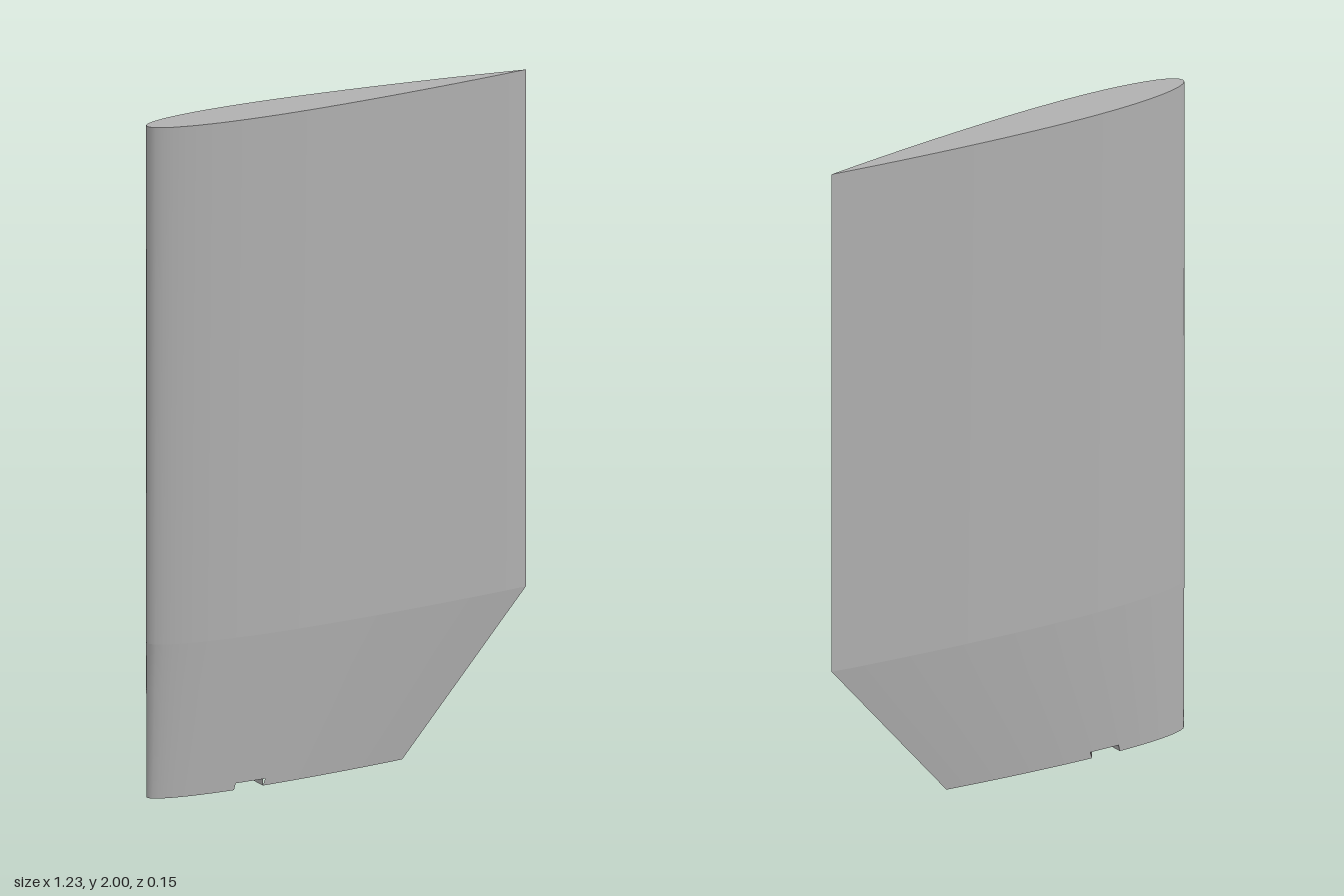
import * as THREE from 'three';

const LEAD = -0.6125, CHORD = 1.225, TIP_CHORD = 0.825;
const TOP = 2, BREAK = 0.46, NOTCH_Y = 0.02;
const NOTCH = [0.309, 0.424]; // chord fractions of the notch sides

// Symmetric aerofoil: half thickness at chord fraction u
const half = u => 0.6 * (0.2969 * Math.sqrt(u) - 0.126 * u - 0.3516 * u ** 2 + 0.2843 * u ** 3 - 0.1036 * u ** 4);
const chordAt = y => (y >= BREAK ? CHORD : TIP_CHORD + (CHORD - TIP_CHORD) * y / BREAK);

// Chord stations, denser at both ends, including the notch sides
const stations = [...NOTCH];
for (let i = 0; i <= 28; i++) stations.push((1 - Math.cos(Math.PI * i / 28)) / 2);
stations.sort((a, b) => a - b);

// Trailing edge -> back -> leading edge -> front -> trailing edge
const loop = [
  ...stations.slice(1).reverse().map(u => [u, -1]),
  ...stations.map(u => [u, 1]),
];

// Skin lofted through the given heights; the lowest band can leave the notch open
function skin(heights, notched) {
  const pos = [], idx = [], n = loop.length;
  for (const y of heights) {
    const c = chordAt(y);
    for (const [u, s] of loop) pos.push(LEAD + c * u, y, s * c * half(u));
  }
  for (let r = 0; r < heights.length - 1; r++) {
    for (let i = 0; i < n - 1; i++) {
      const mid = (loop[i][0] + loop[i + 1][0]) / 2;
      if (notched && r === 0 && mid > NOTCH[0] && mid < NOTCH[1]) continue;
      const a = r * n + i, b = a + 1, d = a + n, e = d + 1;
      idx.push(a, b, e, a, e, d);
    }
  }
  const g = new THREE.BufferGeometry();
  g.setAttribute('position', new THREE.Float32BufferAttribute(pos, 3));
  g.setIndex(idx);
  g.computeVertexNormals();
  return g;
}

// Flat aerofoil slice between two chord fractions, with optional round holes [x, radius]
function slice(y, u0, u1, up, holes = []) {
  const c = chordAt(y);
  const us = stations.filter(u => u >= u0 && u <= u1);
  const front = us.map(u => new THREE.Vector2(LEAD + c * u, c * half(u)));
  const back = us.map(u => new THREE.Vector2(LEAD + c * u, -c * half(u))).reverse();
  const shape = new THREE.Shape([...front, ...back.filter(p => Math.abs(p.y) > 1e-6)]);
  for (const [x, r] of holes) shape.holes.push(new THREE.Path().absarc(x, 0, r, 0, Math.PI * 2, true));
  const g = new THREE.ShapeGeometry(shape, 12);
  g.rotateX(up ? -Math.PI / 2 : Math.PI / 2);
  return g.translate(0, y, 0);
}

export function createModel() {
  const model = new THREE.Group();
  model.name = 'rudderBlade';
  const grey = new THREE.MeshStandardMaterial({ color: 0xb0b0b0 });
  grey.name = 'bladeGrey';
  const inner = new THREE.MeshStandardMaterial({ color: 0xb0b0b0, side: THREE.DoubleSide });
  inner.name = 'recessGrey';
  const add = (name, g, m = grey) => {
    const mesh = new THREE.Mesh(g, m);
    mesh.name = name;
    model.add(mesh);
    return mesh;
  };

  // Blade: straight upper part and tapering tip
  add('upperBlade', skin([BREAK, TOP], false));
  add('taperedTip', skin([0, NOTCH_Y, 0.17, 0.32, BREAK], true));
  add('topFace', slice(TOP, 0, 1, true));

  // Underside on both sides of the notch, and the notch ceiling
  const shaft = [-0.312, 0.034], pins = [[-0.524, 0.012], [-0.097, 0.012]];
  add('leadingUnderside', slice(0, 0, NOTCH[0], false, [pins[0]]));
  add('trailingUnderside', slice(0, NOTCH[1], 1, false, [pins[1]]));
  add('notchCeiling', slice(NOTCH_Y, NOTCH[0], NOTCH[1], false, [shaft]));

  // Notch side walls
  for (const u of NOTCH) {
    const wall = new THREE.PlaneGeometry(2 * TIP_CHORD * half(u), NOTCH_Y);
    wall.rotateY(Math.PI / 2).translate(LEAD + TIP_CHORD * u, NOTCH_Y / 2, 0);
    add('notchWall', wall, inner);
  }

  // Blind bores for the shaft and the two pins
  const bore = (name, [x, r], y, depth) => {
    add(name, new THREE.CylinderGeometry(r, r, depth, 24, 1, true).translate(x, y + depth / 2, 0), inner);
    add(name + 'End', new THREE.CircleGeometry(r, 24).rotateX(Math.PI / 2).translate(x, y + depth, 0));
  };
  bore('shaftBore', shaft, NOTCH_Y, 0.2);
  pins.forEach(p => bore('pinBore', p, 0, 0.08));
  return model;
}
